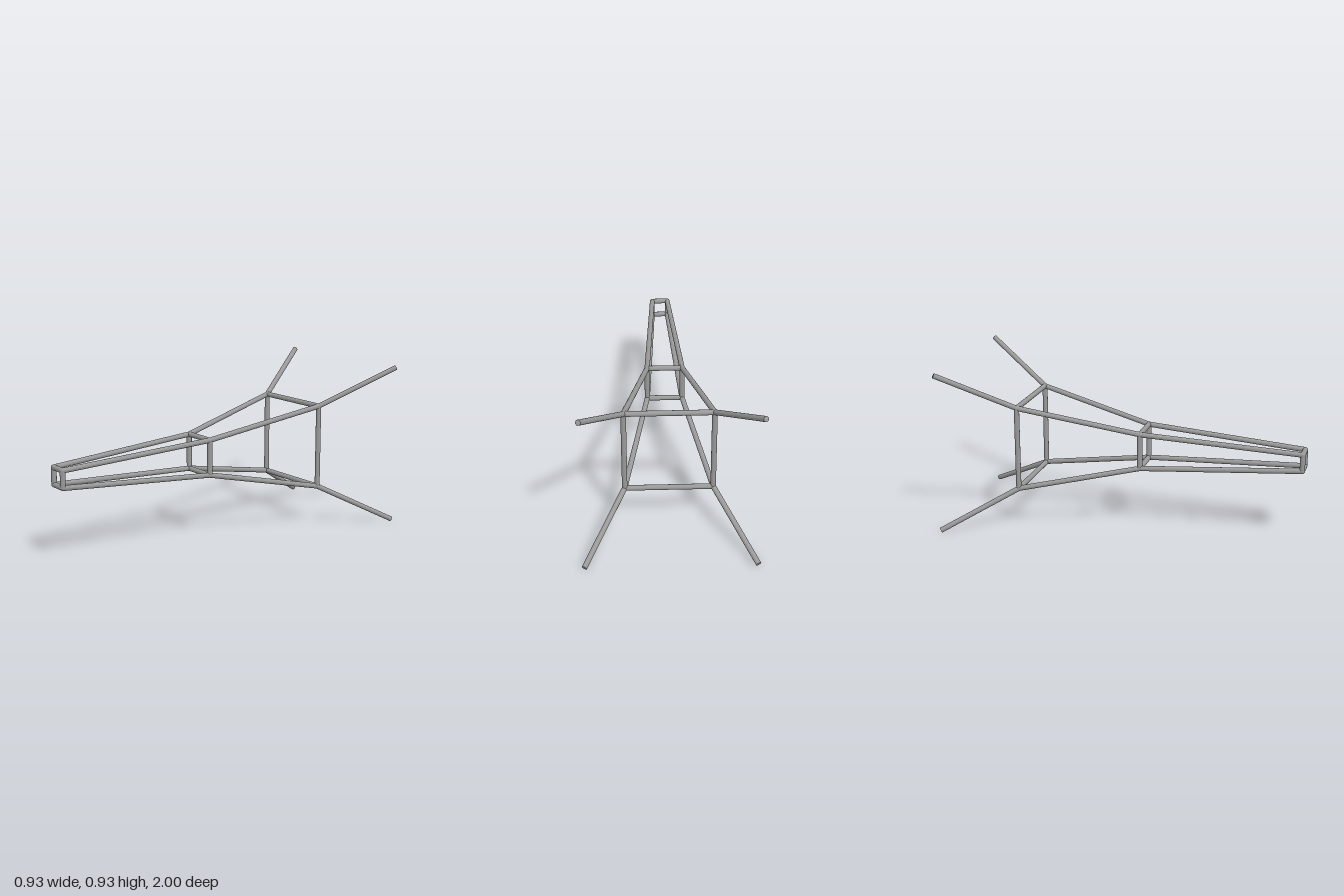
import * as THREE from 'three';

const R = 0.0148;   // rod radius
const CY = 0.468;   // height of the long axis

// Square stations along the axis: half width and z
const STATIONS = [
  { name: 'front', h: 0.047, z: 0.985 },
  { name: 'middle', h: 0.1, z: 0.08 },
  { name: 'rear', h: 0.238, z: -0.595 },
  { name: 'tip', h: 0.454, z: -0.99 },
];
const CORNERS = [[1, 1], [-1, 1], [-1, -1], [1, -1]];

export function createModel() {
  const group = new THREE.Group();
  const metal = new THREE.MeshStandardMaterial({ color: 0x999999 });
  metal.name = 'grey metal';

  const point = (s, c) => new THREE.Vector3(c[0] * s.h, CY + c[1] * s.h, s.z);

  // Straight round rod between two points
  function rod(a, b, name) {
    const dir = b.clone().sub(a);
    const mesh = new THREE.Mesh(new THREE.CylinderGeometry(R, R, dir.length(), 14), metal);
    mesh.position.copy(a).add(b).multiplyScalar(0.5);
    mesh.quaternion.setFromUnitVectors(new THREE.Vector3(0, 1, 0), dir.normalize());
    mesh.name = name;
    group.add(mesh);
  }

  STATIONS.forEach((s, i) => {
    CORNERS.forEach((c, k) => {
      const p = point(s, c);
      if (i < 3) {
        // Square frame side and rounded corner joint
        rod(p, point(s, CORNERS[(k + 1) % 4]), s.name + 'FrameBar');
        const joint = new THREE.Mesh(new THREE.SphereGeometry(R, 14, 10), metal);
        joint.position.copy(p);
        joint.name = s.name + 'Joint';
        group.add(joint);
        // Rail to the next station; the last run is the splayed legs
        rod(p, point(STATIONS[i + 1], c), i === 2 ? 'splayedLeg' : s.name + 'Rail');
      }
    });
  });
  return group;
}
